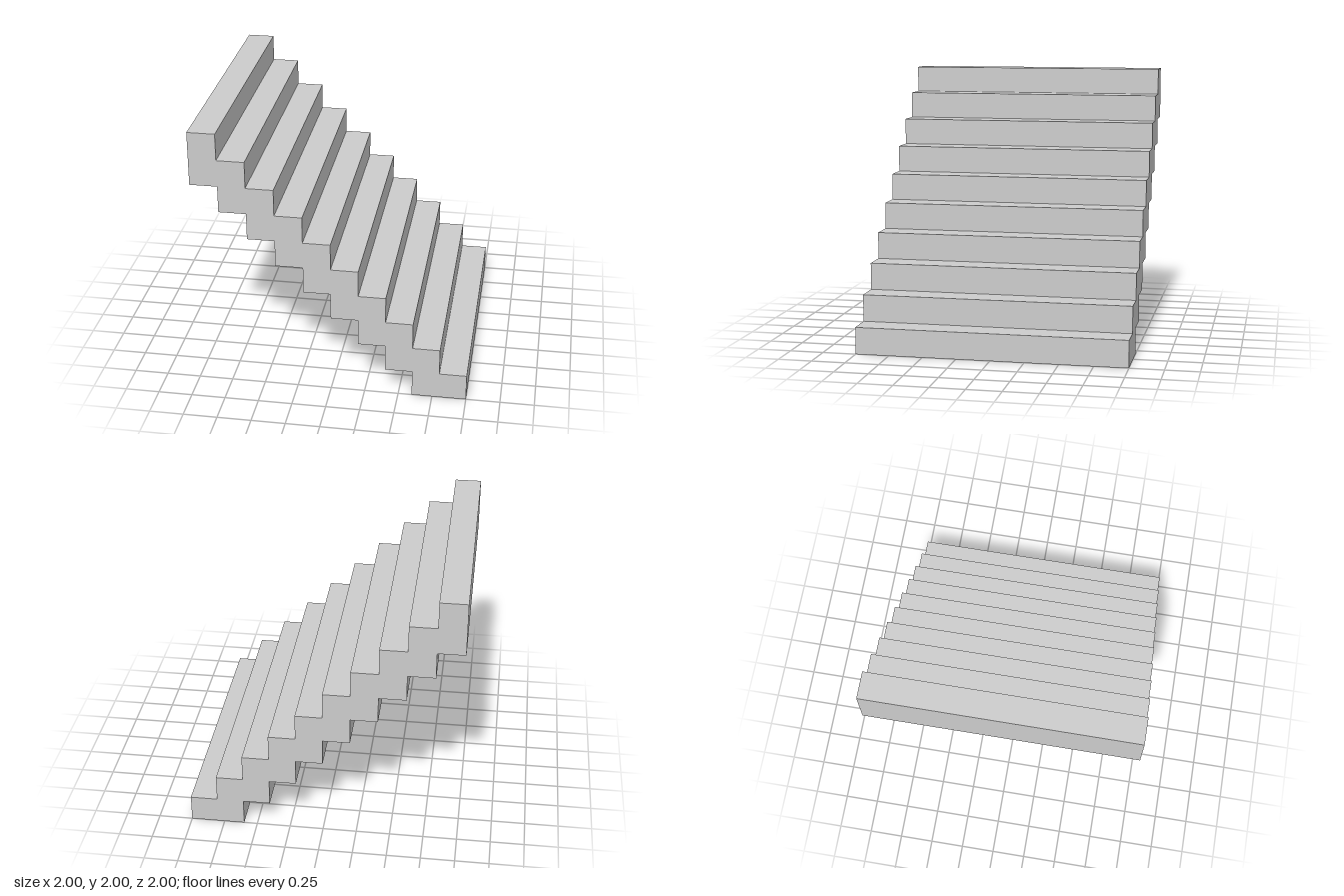
import * as THREE from 'three';

const STEPS = 10;
const SIZE = 0.2; // tread depth and riser height
const WIDTH = 2;

export function createModel() {
  const group = new THREE.Group();
  group.name = 'staircase';

  const profile = new THREE.Shape();
  // Treads and risers, from the top step down to the floor
  profile.moveTo(-1, 2);
  for (let i = 1; i <= STEPS; i++) {
    const x = -1 + i * SIZE;
    profile.lineTo(x, 2 - (i - 1) * SIZE);
    profile.lineTo(x, 2 - i * SIZE);
  }
  // Stepped underside, from the floor back up
  for (let i = STEPS - 2; i >= 1; i--) {
    const x = -1 + i * SIZE;
    profile.lineTo(x, (STEPS - 2 - i) * SIZE);
    profile.lineTo(x, (STEPS - 1 - i) * SIZE);
  }
  profile.lineTo(-1, 2 - 2 * SIZE);
  profile.closePath();

  // Extrude across the width of the flight
  const geometry = new THREE.ExtrudeGeometry(profile, { depth: WIDTH, bevelEnabled: false });
  geometry.translate(0, 0, -WIDTH / 2);

  const flight = new THREE.Mesh(
    geometry,
    new THREE.MeshStandardMaterial({ color: 0xcccccc, flatShading: true })
  );
  flight.name = 'stairFlight';
  group.add(flight);
  return group;
}
